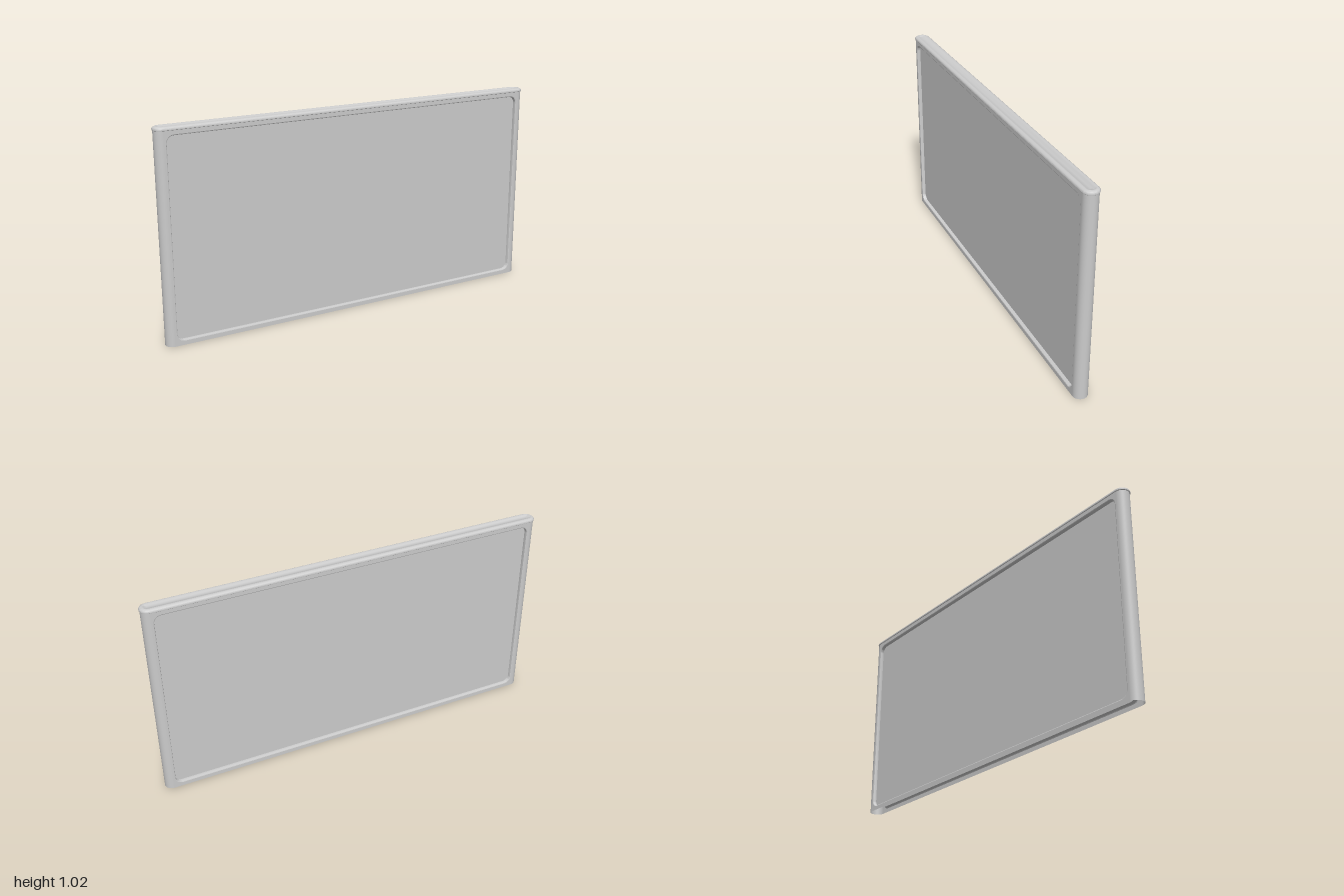
import * as THREE from 'three';
import { toCreasedNormals } from 'three/addons/utils/BufferGeometryUtils.js';

const END_X = 0.9605; // centre of the rounded ends
const RADIUS = 0.036; // half thickness of the body
const HEIGHT = 1;
const FLOOR_Z = 0.018; // depth plane of the recessed panels

const material = new THREE.MeshStandardMaterial({ color: 0xcccccc, side: THREE.DoubleSide });

function addMesh(group, name, geometry) {
  const mesh = new THREE.Mesh(geometry, material);
  mesh.name = name;
  group.add(mesh);
  return mesh;
}

// Skin a list of closed rings that all have the same number of points
function loft(rings, crease = 0.6) {
  const n = rings[0].length;
  const index = [];
  for (let i = 0; i < rings.length - 1; i++) {
    for (let j = 0; j < n; j++) {
      const k = (j + 1) % n;
      const a = i * n + j, b = i * n + k, c = a + n, d = b + n;
      index.push(a, c, b, b, c, d);
    }
  }
  const geometry = new THREE.BufferGeometry().setFromPoints(rings.flat());
  geometry.setIndex(index);
  return toCreasedNormals(geometry, crease);
}

// Horizontal ring with straight sides and round ends
function stadiumRing(r, y, steps = 20) {
  const points = [];
  for (const side of [1, -1]) {
    for (let i = 0; i <= steps; i++) {
      const a = -Math.PI / 2 + (Math.PI * i) / steps;
      points.push(new THREE.Vector3(side * (END_X + r * Math.cos(a)), y, side * r * Math.sin(a)));
    }
  }
  return points;
}

// Rounded window outline, counter-clockwise
function windowPoints(inset, steps = 10) {
  const w = 0.953 - inset, bottom = 0.02 + inset, top = 0.98 - inset, r = 0.04 - inset;
  const corners = [[w - r, bottom + r], [w - r, top - r], [r - w, top - r], [r - w, bottom + r]];
  return corners.flatMap(([x, y], c) =>
    Array.from({ length: steps + 1 }, (_, i) => {
      const a = ((c - 1) + i / steps) * Math.PI / 2;
      return new THREE.Vector2(x + r * Math.cos(a), y + r * Math.sin(a));
    }));
}

// One broad face: frame, recess wall and recessed panel
function createFace(name) {
  const face = new THREE.Group();
  face.name = name;

  const frame = new THREE.Shape([
    new THREE.Vector2(-END_X, 0), new THREE.Vector2(END_X, 0),
    new THREE.Vector2(END_X, HEIGHT), new THREE.Vector2(-END_X, HEIGHT),
  ]);
  frame.holes.push(new THREE.Path(windowPoints(0)));
  addMesh(face, 'frame', new THREE.ShapeGeometry(frame)).position.z = RADIUS;

  const wall = [[0.005, FLOOR_Z], [0.005, 0.031], [0.0035, 0.0345], [0, RADIUS]];
  addMesh(face, 'recessWall', loft(wall.map(([inset, z]) =>
    windowPoints(inset).map((p) => new THREE.Vector3(p.x, p.y, z)))));

  const panel = new THREE.Shape(windowPoints(0.005));
  addMesh(face, 'recessedPanel', new THREE.ShapeGeometry(panel)).position.z = FLOOR_Z;
  return face;
}

export function createModel() {
  const model = new THREE.Group();
  model.name = 'flatPanel';

  // Matching front and back faces
  const back = createFace('backFace');
  back.rotation.y = Math.PI;
  model.add(createFace('frontFace'), back);

  // Rounded ends; the hollow body is open underneath
  for (const side of [1, -1]) {
    const end = addMesh(model, side > 0 ? 'leftEnd' : 'rightEnd', new THREE.CylinderGeometry(
      RADIUS, RADIUS, HEIGHT, 24, 1, true, side > 0 ? 0 : Math.PI, Math.PI));
    end.position.set(side * END_X, HEIGHT / 2, 0);
  }

  // Overhanging cap with a rounded lip and a shallow central groove
  const capProfile = [
    [0, 0.998], [0.037, 0.998], [0.039, 0.9995], [0.0395, 1.002], [0.0395, 1.006],
    [0.038, 1.009], [0.034, 1.012], [0.029, 1.0148], [0.025, 1.0155], [0.021, 1.0148],
    [0.016, 1.012], [0.013, 1.0105], [0, 1.0105],
  ];
  addMesh(model, 'topCap', loft(capProfile.map(([r, y]) => stadiumRing(r, y))));
  return model;
}
